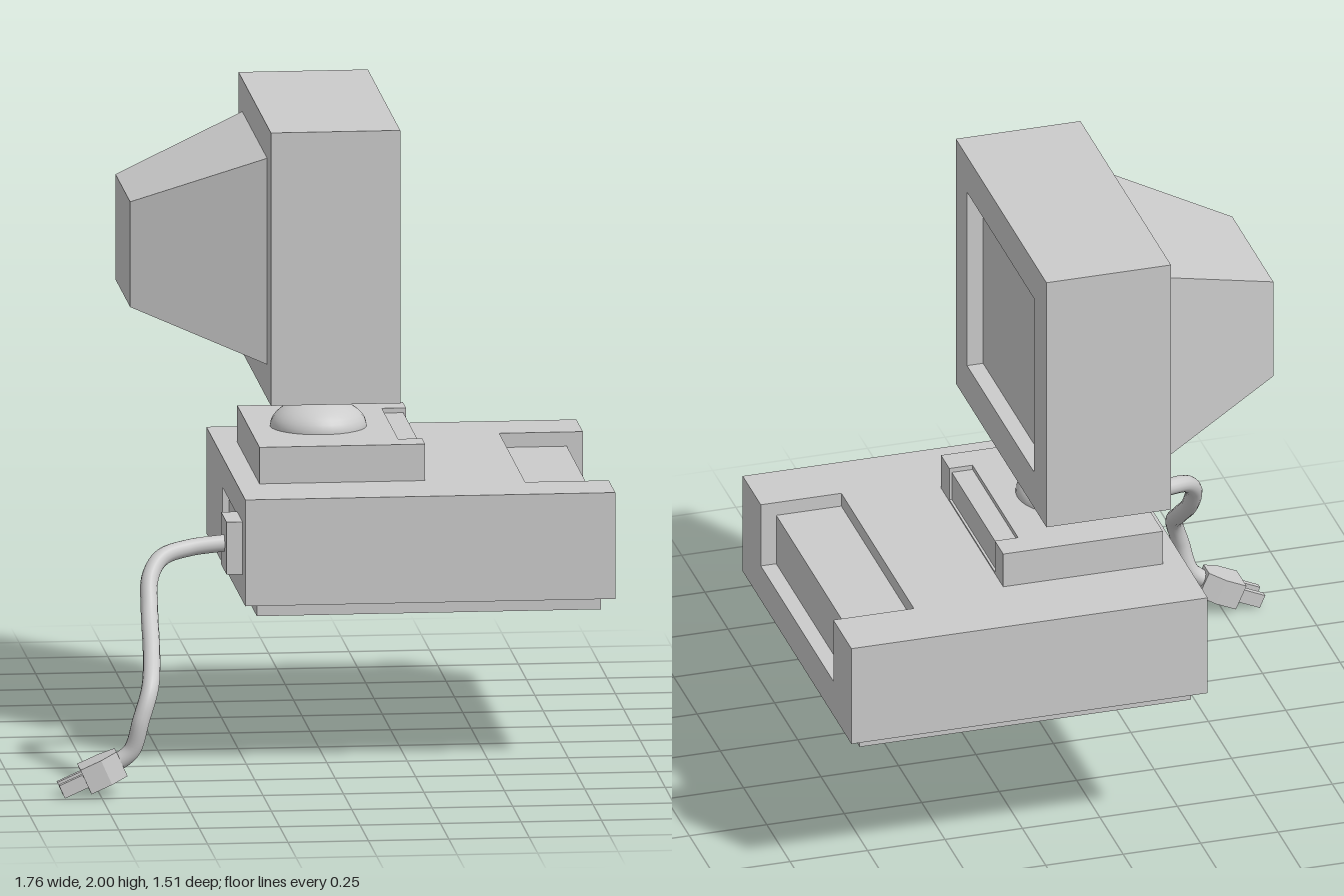
import * as THREE from 'three';

const material = new THREE.MeshStandardMaterial({ color: 0xcccccc });

function add(parent, name, geometry) {
  const mesh = new THREE.Mesh(geometry, material);
  mesh.name = name;
  parent.add(mesh);
  return mesh;
}

// Box given by its limits on each axis
function block(x0, x1, y0, y1, z0, z1) {
  return new THREE.BoxGeometry(x1 - x0, y1 - y0, z1 - z0)
    .translate((x0 + x1) / 2, (y0 + y1) / 2, (z0 + z1) / 2);
}

function polygon(points) {
  return new THREE.Shape(points.map(([x, y]) => new THREE.Vector2(x, y)));
}

function extrude(shape, depth) {
  return new THREE.ExtrudeGeometry(shape, { depth, bevelEnabled: false });
}

// Plate facing along x, with a rectangular opening; rectangles are [y0, y1, z0, z1]
function framePlate(x0, x1, outer, inner) {
  const corners = ([y0, y1, z0, z1]) => [[-z1, y0], [-z0, y0], [-z0, y1], [-z1, y1]];
  const shape = polygon(corners(outer));
  shape.holes.push(polygon(corners(inner).reverse()));
  return extrude(shape, x1 - x0).rotateY(Math.PI / 2).translate(x0, 0, 0);
}

// Block whose middle stretch has a shallow step cut over its top front edge
function notchedBlock(parent, name, [x0, x1, y0, y1, z0, z1], cut) {
  const group = new THREE.Group();
  group.name = name;
  add(group, name + 'SideA', block(x0, x1, y0, y1, z0, cut.z0));
  add(group, name + 'SideB', block(x0, x1, y0, y1, cut.z1, z1));
  const profile = polygon([
    [x0, y0], [x1, y0], [x1, cut.bottom], [cut.front, cut.bottom],
    [cut.front, cut.top], [cut.back, cut.top], [cut.back, y1], [x0, y1],
  ]);
  add(group, name + 'Middle', extrude(profile, cut.z1 - cut.z0).translate(0, 0, cut.z0));
  parent.add(group);
}

export function createModel() {
  const model = new THREE.Group();
  model.name = 'desktopComputer';

  // Case with front drive recess, recessed rear panel and foot plate
  notchedBlock(model, 'case', [-0.25, 0.88, 0.53, 0.865, -0.76, 0.41],
    { z0: -0.565, z1: 0.215, back: 0.62, front: 0.83, top: 0.82, bottom: 0.65 });
  add(model, 'caseRear', framePlate(-0.27, -0.25, [0.53, 0.865, -0.76, 0.41], [0.61, 0.77, -0.28, 0.16]));
  add(model, 'casePlinth', block(-0.23, 0.84, 0.49, 0.53, -0.715, 0.37));
  add(model, 'powerSocket', block(-0.32, -0.27, 0.615, 0.78, 0.165, 0.33));

  // Stand with its own shallow notch
  notchedBlock(model, 'stand', [-0.2, 0.315, 0.865, 0.98, -0.51, 0.16],
    { z0: -0.42, z1: 0.07, back: 0.24, front: 0.307, top: 0.965, bottom: 0.87 });

  // Swivel: two flattened domes meeting at a short neck
  for (const [name, y] of [['lowerDome', 0.98], ['upperDome', 1.15]]) {
    const dome = add(model, name, new THREE.SphereGeometry(0.15, 32, 20));
    dome.scale.y = 0.58;
    dome.position.set(0.017, y, -0.17);
  }
  add(model, 'swivelNeck', new THREE.CylinderGeometry(0.05, 0.05, 0.05, 24).translate(0.017, 1.066, -0.17));

  // Monitor: housing, bezel around the sunken screen, tapered back
  add(model, 'monitorHousing', block(-0.18, 0.17, 1.14, 2, -0.665, 0.31));
  add(model, 'monitorBezel', framePlate(0.17, 0.222, [1.14, 2, -0.665, 0.31], [1.265, 1.875, -0.53, 0.19]));
  const back = new THREE.BoxGeometry(0.41, 0.65, 0.75);
  const pos = back.attributes.position;
  for (let i = 0; i < pos.count; i++) {
    if (pos.getX(i) < 0) {
      pos.setY(i, pos.getY(i) * 0.51);
      pos.setZ(i, pos.getZ(i) * 0.59);
    }
  }
  back.computeVertexNormals();
  add(model, 'monitorBack', back.translate(-0.385, 1.573, -0.178));

  // Power cord
  const path = new THREE.CatmullRomCurve3([
    [-0.31, 0.7, 0.25], [-0.43, 0.69, 0.27], [-0.52, 0.67, 0.315], [-0.56, 0.62, 0.36],
    [-0.57, 0.53, 0.43], [-0.578, 0.42, 0.57], [-0.595, 0.33, 0.685], [-0.625, 0.24, 0.715],
    [-0.655, 0.14, 0.705], [-0.72, 0.09, 0.7],
  ].map((p) => new THREE.Vector3(...p)));
  add(model, 'powerCord', new THREE.TubeGeometry(path, 80, 0.027, 14));

  // Plug with two flat prongs
  const plug = new THREE.Group();
  plug.name = 'plug';
  const outline = polygon([[0, -0.052], [0.07, -0.052], [0.125, -0.03], [0.125, 0.03], [0.07, 0.052], [0, 0.052]]);
  add(plug, 'plugBody', extrude(outline, 0.084).rotateX(Math.PI / 2).translate(0, 0.042, 0));
  for (const side of [-1, 1]) {
    const z = side * 0.028;
    add(plug, 'prong', block(-0.08, 0, -0.022, 0.022, z - 0.01, z + 0.01));
  }
  plug.position.set(-0.8, 0.053, 0.698);
  plug.rotation.z = 0.42;
  model.add(plug);

  return model;
}
